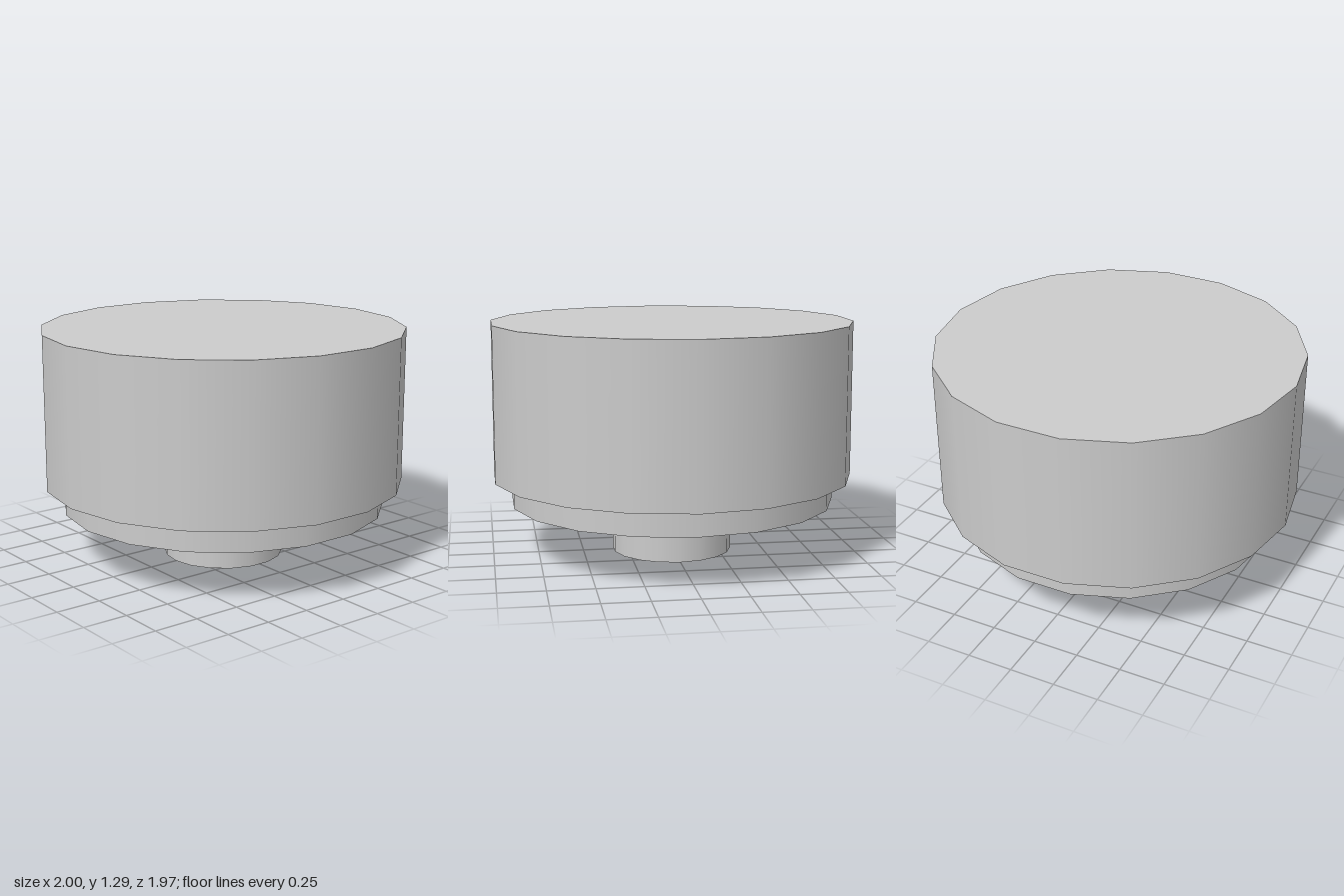
import * as THREE from 'three';

const SIDES = 18;

// Upright smooth-sided cylinder between two heights, with a corner pointing along +x
function tier(name, radius, bottom, top, material) {
  const geometry = new THREE.CylinderGeometry(radius, radius, top - bottom, SIDES, 1, false, Math.PI / 2);
  const mesh = new THREE.Mesh(geometry, material);
  mesh.name = name;
  mesh.position.y = (bottom + top) / 2;
  return mesh;
}

export function createModel() {
  const model = new THREE.Group();
  model.name = 'steppedKnob';
  const grey = new THREE.MeshStandardMaterial({ color: 0xcccccc });

  model.add(
    tier('stem', 0.333, 0, 0.287, grey),
    tier('collar', 0.9, 0.287, 0.43, grey),
    tier('cap', 1, 0.43, 1.286, grey),
  );
  return model;
}
